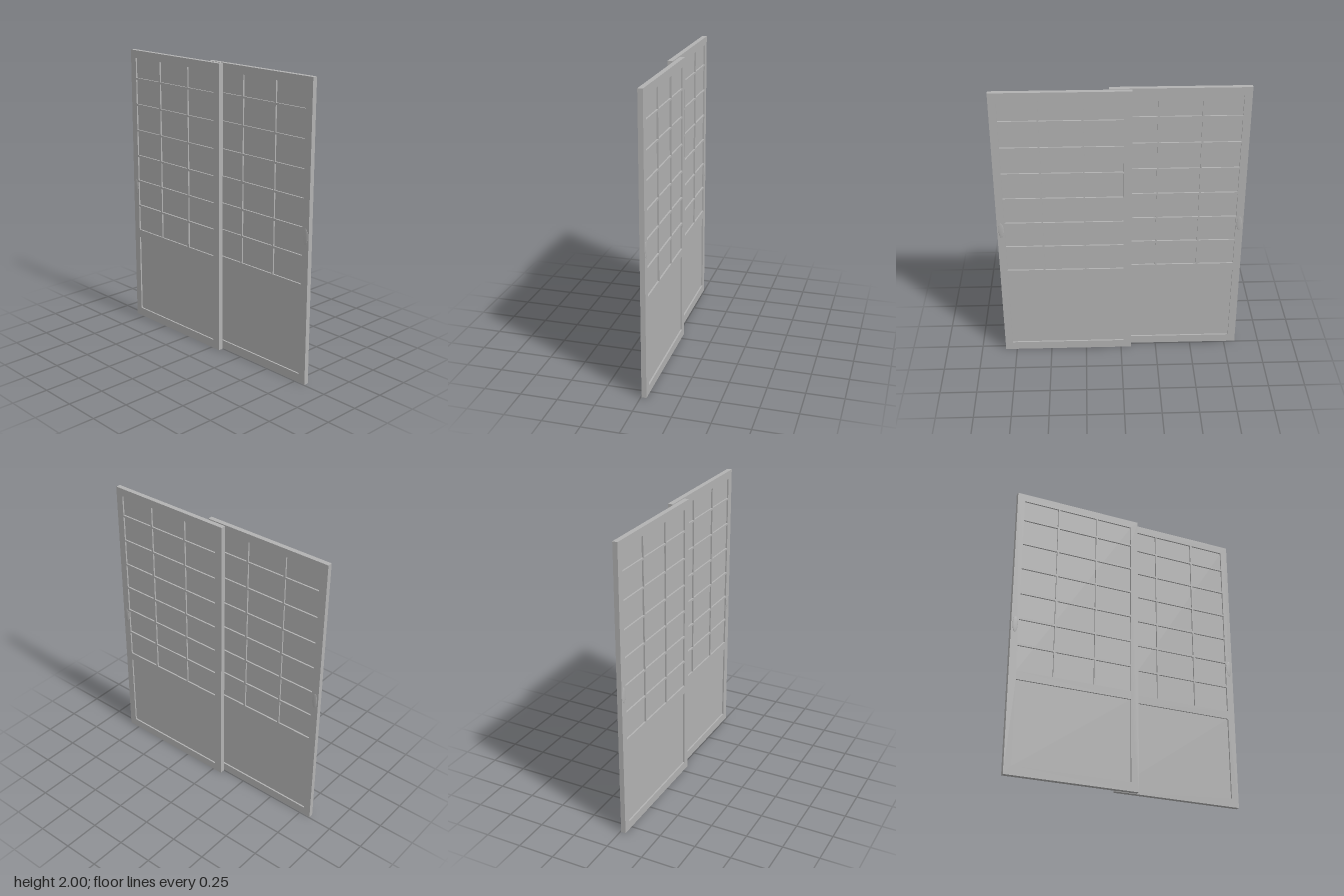
import * as THREE from 'three';

const HEIGHT = 2, THICK = 0.033, OFFSET = 0.0215;
const Z0 = -0.072, Z1 = 0.83;

// pane openings: columns along z, rows along y
const COLUMNS = [[-0.018, 0.236], [0.247, 0.52], [0.532, 0.779]];
const ROWS = [
  [0.682, 0.86], [0.874, 1.045], [1.06, 1.232], [1.247, 1.42],
  [1.433, 1.607], [1.62, 1.793], [1.806, 1.945],
];
const KICK = [-0.018, 0.06, 0.779, 0.625];

function rectangle(path, a, b, c, d) {
  path.moveTo(a, b);
  path.lineTo(c, b);
  path.lineTo(c, d);
  path.lineTo(a, d);
  path.closePath();
  return path;
}

// one sliding door, lying in the yz plane on the +x track
function makeDoor(material, name) {
  const door = new THREE.Group();
  door.name = name;

  // frame and glazing bars as one pierced board
  const outline = rectangle(new THREE.Shape(), Z0, 0, Z1, HEIGHT);
  for (const [y0, y1] of ROWS) {
    for (const [z0, z1] of COLUMNS) {
      outline.holes.push(rectangle(new THREE.Path(), z0, y0, z1, y1));
    }
  }
  outline.holes.push(rectangle(new THREE.Path(), ...KICK));
  const board = new THREE.ExtrudeGeometry(outline, { depth: THICK, bevelEnabled: false });
  board.translate(0, 0, -THICK / 2);
  board.rotateY(-Math.PI / 2);
  const frame = new THREE.Mesh(board, material);
  frame.name = 'latticeFrame';
  frame.position.x = OFFSET;
  door.add(frame);

  // recessed sheets behind the lattice and in the bottom panel
  const addSheet = (part, z0, y0, z1, y1) => {
    const sheet = new THREE.Mesh(new THREE.BoxGeometry(0.011, y1 - y0, z1 - z0), material);
    sheet.name = part;
    sheet.position.set(OFFSET, (y0 + y1) / 2, (z0 + z1) / 2);
    door.add(sheet);
  };
  addSheet('paneSheet', -0.025, 0.675, 0.786, 1.952);
  addSheet('bottomPanel', -0.025, 0.053, 0.786, 0.632);

  // shallow oval finger pulls near the outer edge, on both faces
  for (const side of [-1, 1]) {
    const pull = new THREE.Mesh(new THREE.SphereGeometry(1, 24, 16), material);
    pull.name = 'fingerPull';
    pull.scale.set(0.003, 0.055, 0.018);
    pull.position.set(OFFSET + side * THICK / 2, 1.005, 0.803);
    door.add(pull);
  }
  return door;
}

export function createModel() {
  const model = new THREE.Group();
  model.name = 'slidingDoors';
  const grey = new THREE.MeshStandardMaterial({ color: 0xb2b2b2 });
  grey.name = 'plainGrey';

  const frontDoor = makeDoor(grey, 'frontDoor');
  const backDoor = makeDoor(grey, 'backDoor');
  backDoor.rotation.y = Math.PI; // same door turned round on the other track
  model.add(frontDoor, backDoor);
  return model;
}
